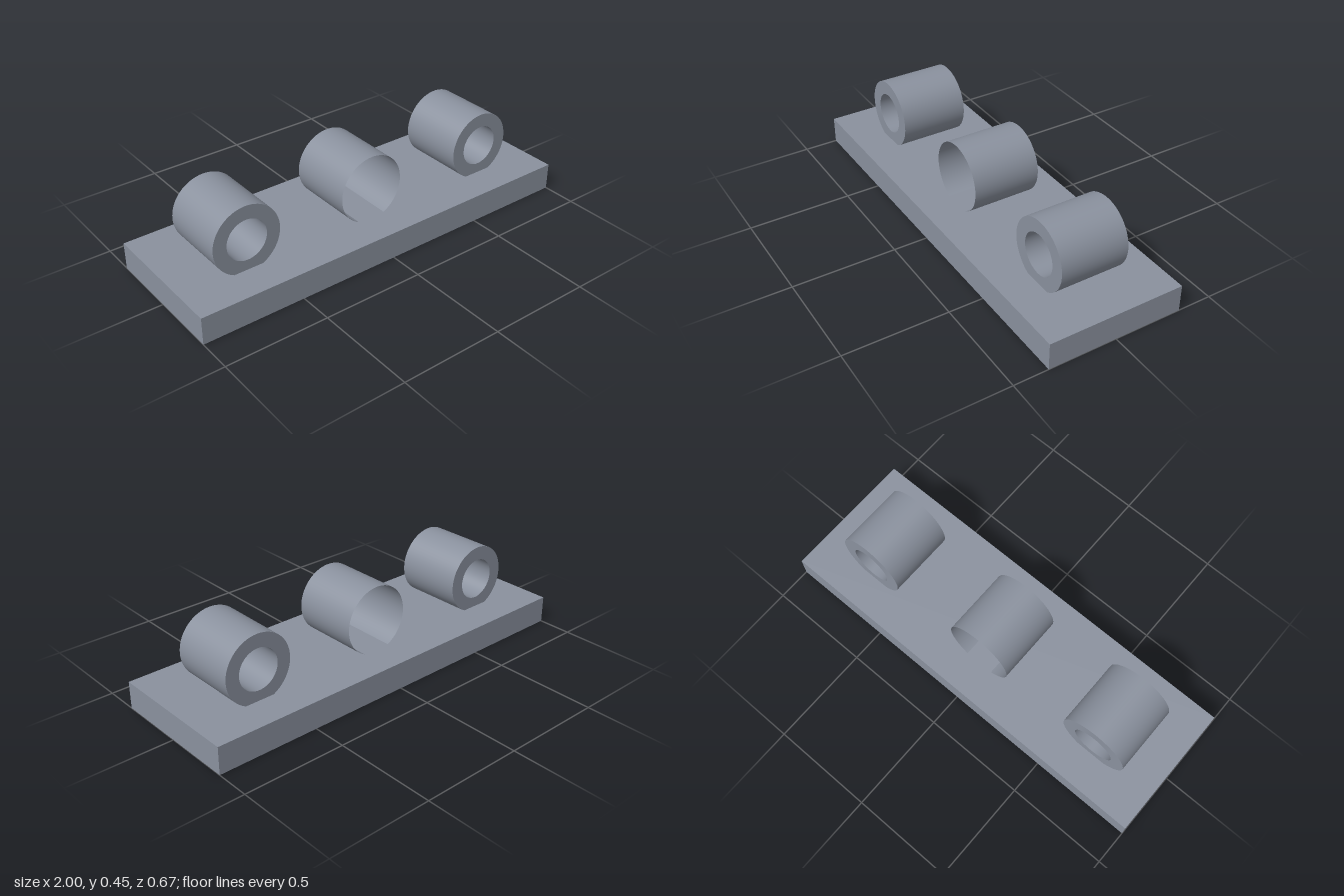
import * as THREE from 'three';

const BASE_H = 0.1333;
const OUTER_R = 0.1667;
const INNER_R = 0.1;
const DEPTH = 0.3333;
const AXIS_Y = 0.2833; // the barrels sink slightly into the base
const SPACING = 0.6667;
const SEGMENTS = 64;

export function createModel() {
  const model = new THREE.Group();
  model.name = 'hingePlate';

  // Double sided, because the barrels are open surfaces
  const steel = new THREE.MeshStandardMaterial({ color: 0x8a919e, side: THREE.DoubleSide });
  steel.name = 'steelGrey';

  const add = (parent, name, geometry) => {
    const mesh = new THREE.Mesh(geometry, steel);
    mesh.name = name;
    parent.add(mesh);
    return mesh;
  };

  // Open cylinder wall running front to back
  const wall = (radius) =>
    new THREE.CylinderGeometry(radius, radius, DEPTH, SEGMENTS, 1, true).rotateX(Math.PI / 2);

  // Base plate
  add(model, 'basePlate', new THREE.BoxGeometry(2, BASE_H, 0.6667)).position.y = BASE_H / 2;

  // Thick outer barrels, left and right
  for (const side of [-1, 1]) {
    const barrel = new THREE.Group();
    barrel.name = side > 0 ? 'leftBarrel' : 'rightBarrel';
    barrel.position.set(side * SPACING, AXIS_Y, 0);
    add(barrel, 'outerWall', wall(OUTER_R));
    add(barrel, 'bore', wall(INNER_R));
    const ring = () => new THREE.RingGeometry(INNER_R, OUTER_R, SEGMENTS);
    add(barrel, 'frontRim', ring()).position.z = DEPTH / 2;
    add(barrel, 'backRim', ring().rotateY(Math.PI)).position.z = -DEPTH / 2;
    model.add(barrel);
  }

  // Thin middle sleeve, open at both ends
  add(model, 'middleSleeve', wall(OUTER_R)).position.y = AXIS_Y;

  return model;
}
